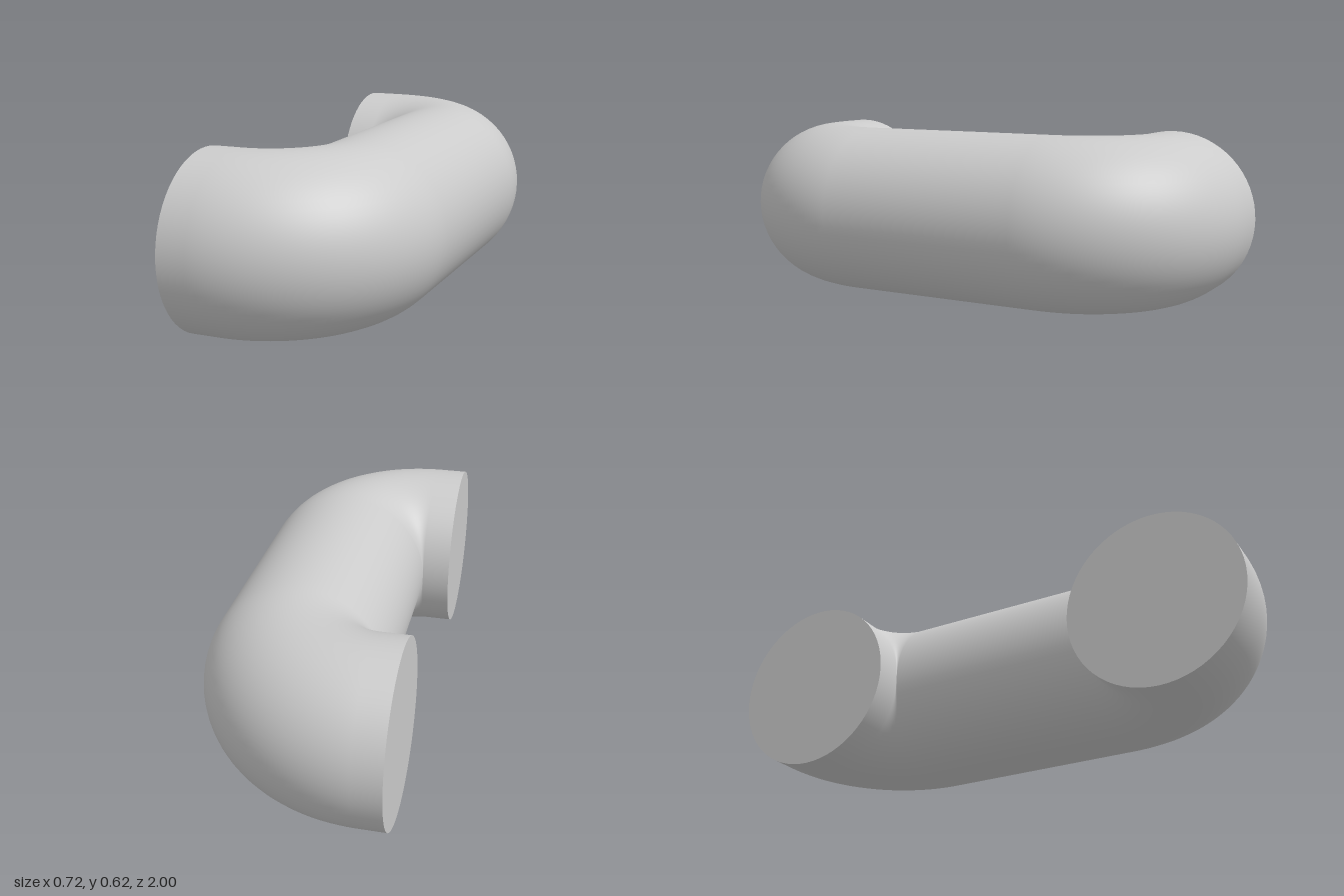
import * as THREE from 'three';

const R = 0.311;        // pipe radius, also the centreline radius of the bends
const CORNER_X = -0.26; // pivot of the bends
const CORNER_Z = 0.378;
const END_X = -0.361;   // plane of the pipe ends
const SIDES = 64;

export function createModel() {
  const group = new THREE.Group();
  const material = new THREE.MeshStandardMaterial({ color: 0xcccccc });

  const add = (name, geometry, x, z) => {
    const mesh = new THREE.Mesh(geometry, material);
    mesh.name = name;
    mesh.position.set(x, R, z);
    group.add(mesh);
  };

  // Long straight grip
  const grip = new THREE.CylinderGeometry(R, R, CORNER_Z * 2, SIDES, 1, true);
  add('grip', grip.rotateX(Math.PI / 2), CORNER_X + R, 0);

  for (const [label, s] of [['front', 1], ['back', -1]]) {
    // Quarter bend whose inside closes to a sharp corner
    const elbow = new THREE.TorusGeometry(R, R, SIDES, 32, Math.PI / 2);
    add(label + 'Elbow', elbow.rotateX(s * Math.PI / 2), CORNER_X, s * CORNER_Z);

    // Short straight stub
    const length = CORNER_X - END_X;
    const stub = new THREE.CylinderGeometry(R, R, length, SIDES, 1, true);
    add(label + 'Stub', stub.rotateZ(Math.PI / 2), CORNER_X - length / 2, s * (CORNER_Z + R));

    // Flat end face
    const cap = new THREE.CircleGeometry(R, SIDES);
    add(label + 'EndCap', cap.rotateY(-Math.PI / 2), END_X, s * (CORNER_Z + R));
  }
  return group;
}
